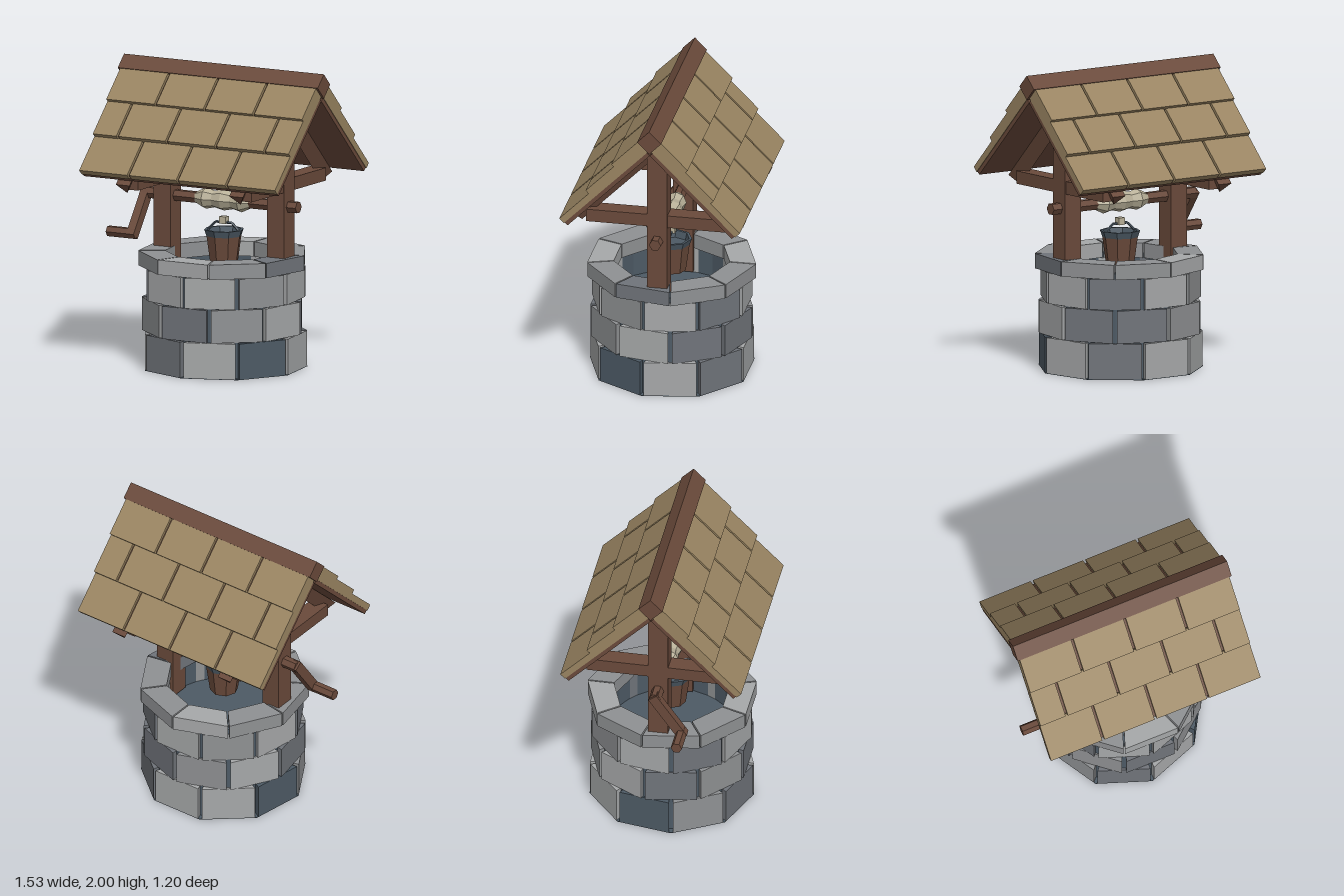
import * as THREE from 'three';

const mat = (name, color) => {
  const m = new THREE.MeshStandardMaterial({ color, flatShading: true });
  m.name = name;
  return m;
};

export function createModel() {
  const lightStone = mat('light stone', 0xa6a8a9);
  const midStone = mat('mid stone', 0x8f9193);
  const darkStone = mat('dark stone', 0x70747a);
  const slate = mat('slate', 0x4d5a65);
  const wood = mat('brown wood', 0x6a4a3b);
  const shingleWood = mat('tan shingle', 0x9a8562);
  const ropeMat = mat('rope', 0xb9b199);
  slate.side = wood.side = THREE.DoubleSide;

  const root = new THREE.Group();
  root.name = 'well';
  const model = new THREE.Group();
  model.name = 'wellParts';
  model.position.x = 0.005;
  root.add(model);

  const add = (name, geo, material, parent = model) => {
    const m = new THREE.Mesh(geo, material);
    m.name = name;
    parent.add(m);
    return m;
  };
  // Box given by its limits on each axis
  const box = (name, x0, x1, y0, y1, z0, z1, material, parent) => {
    const m = add(name, new THREE.BoxGeometry(x1 - x0, y1 - y0, z1 - z0), material, parent);
    m.position.set((x0 + x1) / 2, (y0 + y1) / 2, (z0 + z1) / 2);
    return m;
  };
  const lathe = (pts, sides) =>
    new THREE.LatheGeometry(pts.map(p => new THREE.Vector2(p[0], p[1])), sides);

  // Stone courses: nine blocks each, every second course turned by half a block
  const SIDES = 9, STEP = (Math.PI * 2) / SIDES;
  const tones = { L: lightStone, M: midStone, D: darkStone, S: slate };
  const courses = [
    { y0: 0.004, y1: 0.238, outer: 0.545, inner: 0.42, start: 0, gap: 0.013, pattern: 'LSLDLLSMD' },
    { y0: 0.242, y1: 0.458, outer: 0.54, inner: 0.42, start: -0.5, gap: 0.015, pattern: 'DMLDDMLDM' },
    { y0: 0.462, y1: 0.663, outer: 0.535, inner: 0.42, start: 0, gap: 0.015, pattern: 'LMLDLMLDL' },
    { y0: 0.667, y1: 0.765, outer: 0.56, inner: 0.385, start: -0.5, gap: 0.005, pattern: 'LMDMMLMMM' },
  ];
  courses.forEach((c, row) => {
    for (let i = 0; i < SIDES; i++) {
      const half = STEP / 2;
      const wo = c.outer * Math.sin(half) - c.gap, wi = c.inner * Math.sin(half) - c.gap;
      const ro = c.outer * Math.cos(half), ri = c.inner * Math.cos(half);
      const shape = new THREE.Shape([[-wi, -ri], [-wo, -ro], [wo, -ro], [wi, -ri]]
        .map(p => new THREE.Vector2(p[0], p[1])));
      const geo = new THREE.ExtrudeGeometry(shape, { depth: c.y1 - c.y0, bevelEnabled: false });
      geo.rotateX(-Math.PI / 2);
      const stone = add(`stone${row + 1}_${i + 1}`, geo, tones[c.pattern[i]]);
      stone.position.y = c.y0;
      stone.rotation.y = (c.start + i + 0.5) * STEP;
    }
  });

  // Mortar lining, shaft floor and foundation plate
  add('mortar', lathe([[0.5, 0.005], [0.5, 0.7], [0.4, 0.7], [0.4, 0.005]], 18), slate);
  const floor = add('shaftFloor', new THREE.CylinderGeometry(0.41, 0.41, 0.02, 18), slate);
  floor.position.y = 0.48;
  const base = add('foundation', new THREE.CylinderGeometry(0.545, 0.545, 0.004, SIDES), slate);
  base.position.y = 0.002;

  // Posts, tie beams and ridge beam
  for (const x of [-0.43, 0.43]) {
    box('post', x - 0.065, x + 0.065, 0.5, 1.79, -0.067, 0.067, wood);
    box('tieBeam', x - 0.06, x + 0.06, 1.2, 1.285, -0.475, 0.475, wood);
  }
  box('ridgeBeam', -0.52, 0.52, 1.72, 1.79, -0.045, 0.045, wood);

  // Roof slopes; local y points out of the slope and local z runs down it
  const rows = [
    { u0: 0.5, u1: 0.778, top: 0.071, offset: 0 },
    { u0: 0.235, u1: 0.502, top: 0.1, offset: 0.5 },
    { u0: -0.02, u1: 0.237, top: 0.122, offset: 0 },
  ];
  const HALF = 0.742, PITCH = HALF / 2;
  for (const turn of [0, Math.PI]) {
    const side = new THREE.Group();
    side.name = turn ? 'backRoof' : 'frontRoof';
    side.rotation.y = turn;
    const slope = new THREE.Group();
    slope.name = 'slope';
    slope.position.y = 1.82;
    slope.rotation.x = Math.PI / 4;
    side.add(slope);
    model.add(side);
    box('roofBoard', -HALF + 0.004, HALF - 0.004, 0, 0.03, 0, 0.772, wood, slope);
    for (const r of rows) {
      box('batten', -HALF + 0.01, HALF - 0.01, 0.028, r.top - 0.02, r.u0 + 0.01, r.u1 - 0.012, wood, slope);
      for (let i = 0; i < (r.offset ? 5 : 4); i++) {
        const a = -HALF + (i - r.offset) * PITCH, b = a + PITCH;
        const x0 = a <= -HALF + 0.001 ? -HALF : a + 0.008;
        const x1 = b >= HALF - 0.001 ? HALF : b - 0.008;
        box('shingle', x0, x1, 0.028, r.top, r.u0, r.u1, shingleWood, slope);
      }
    }
    // Rafters with a V-shaped underside
    for (const x of [-0.43, 0.43]) {
      const tri = new THREE.Shape([[-0.052, -0.003], [0, -0.088], [0.052, -0.003]]
        .map(p => new THREE.Vector2(p[0], p[1])));
      const geo = new THREE.ExtrudeGeometry(tri, { depth: 0.79, bevelEnabled: false });
      add('rafter', geo, wood, slope).position.set(x, 0, 0.02);
    }
  }
  const ridge = box('ridgeCap', -0.758, 0.758, 1.8635, 1.9765, -0.0565, 0.0565, wood);
  ridge.rotation.x = Math.PI / 4;

  // Winch: axle, wound rope, crank arm and handle
  const rod = (name, x0, x1, y, z, r) => {
    const m = add(name, new THREE.CylinderGeometry(r, r, x1 - x0, 6), wood);
    m.rotation.z = Math.PI / 2;
    m.position.set((x0 + x1) / 2, y, z);
  };
  rod('axle', -0.6, 0.565, 1.1, 0, 0.04);
  rod('crankHandle', -0.772, -0.56, 0.852, 0.175, 0.037);
  const arm = box('crankArm', -0.617, -0.56, 0.795, 1.145, -0.033, 0.033, wood);
  arm.position.set(-0.588, 0.976, 0.0875);
  arm.rotation.x = -Math.atan2(0.175, 0.248);
  const coil = add('rope', lathe([[0.038, -0.205], [0.07, -0.135], [0.055, -0.07], [0.07, 0],
    [0.055, 0.07], [0.07, 0.135], [0.038, 0.205]], 8), ropeMat);
  coil.rotation.z = Math.PI / 2;

  coil.position.y = 1.1;

  // Bucket with metal rim, bail and a rope knot
  const bucket = new THREE.Group();
  bucket.name = 'bucket';
  model.add(bucket);
  add('bucketBody', lathe([[0, 0.68], [0.092, 0.68], [0.118, 0.87]], 8), wood, bucket);
  add('bucketRim', lathe([[0.118, 0.865], [0.133, 0.908], [0.115, 0.908], [0.105, 0.86], [0, 0.86]], 8), slate, bucket);
  const bail = new THREE.CurvePath();
  const pts = [[-0.118, 0.9], [-0.06, 0.953], [0.06, 0.953], [0.118, 0.9]]
    .map(p => new THREE.Vector3(p[0], p[1], 0));
  for (let i = 0; i < 3; i++) bail.add(new THREE.LineCurve3(pts[i], pts[i + 1]));
  add('bail', new THREE.TubeGeometry(bail, 24, 0.009, 5), slate, bucket);
  box('ropeKnot', -0.024, 0.024, 0.945, 0.992, -0.024, 0.024, ropeMat, bucket);

  return root;
}
